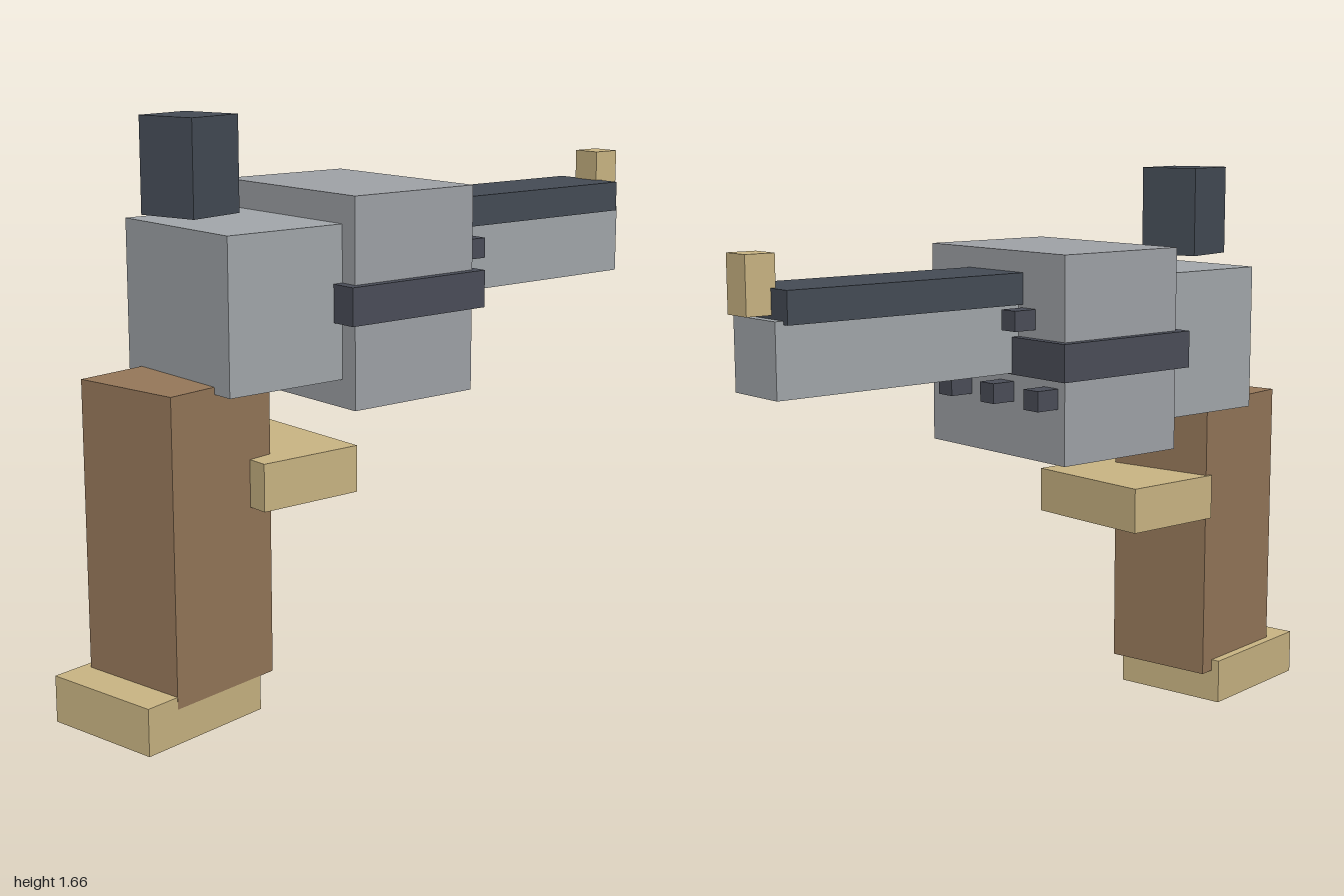
import * as THREE from 'three';

const material = (color) => new THREE.MeshStandardMaterial({ color, flatShading: true });

export function createModel() {
  const model = new THREE.Group();
  model.name = 'blockRevolver';

  const steel = material(0xa0a3a8);
  const lightSteel = material(0xa3a8ac);
  const dark = material(0x454c56);
  const darkBand = material(0x4b4e59);
  const wood = material(0x96785a);
  const brass = material(0xcbb684);

  // Box given by size and centre, optionally turned about y
  function box(name, mat, [w, h, d], [x, y, z], turn = 0) {
    const mesh = new THREE.Mesh(new THREE.BoxGeometry(w, h, d), mat);
    mesh.name = name;
    mesh.position.set(x, y, z);
    mesh.rotation.y = turn;
    model.add(mesh);
  }

  // Grip, slightly twisted, on its butt plate
  box('grip', wood, [0.346, 0.86, 0.373], [-0.003, 0.53, 0.675], 0.18);
  box('buttPlate', brass, [0.372, 0.135, 0.43], [-0.002, 0.0675, 0.755], 0.18);
  box('triggerGuard', brass, [0.427, 0.135, 0.325], [0, 0.6675, 0.3775]);

  // Body: rear frame, drum and the band around it
  box('frame', lightSteel, [0.485, 0.43, 0.43], [0, 1.155, 0.455]);
  box('drum', steel, [0.595, 0.59, 0.43], [0, 1.155, 0.075]);
  box('drumBand', darkBand, [0.648, 0.107, 0.485], [0, 1.155, 0.0775]);

  // Chamber pegs on the drum's muzzle side, two staggered rows of three
  for (const side of [1, -1]) {
    for (const x of [0.24, 0.048, -0.144]) {
      box('chamberPeg', darkBand, [0.06, 0.058, 0.09], [side * x, 1.155 + side * 0.107, -0.17]);
    }
  }

  // Barrel with its top rib and the front sight
  box('barrel', lightSteel, [0.2, 0.205, 0.83], [0, 1.2075, -0.535]);
  box('barrelRib', dark, [0.24, 0.09, 0.81], [0, 1.345, -0.52]);
  box('frontSight', brass, [0.09, 0.16, 0.09], [0, 1.4, -0.955]);

  // Twisted hammer above the frame
  box('hammer', dark, [0.186, 0.265, 0.186], [0, 1.5325, 0.617], 0.25);

  return model;
}
